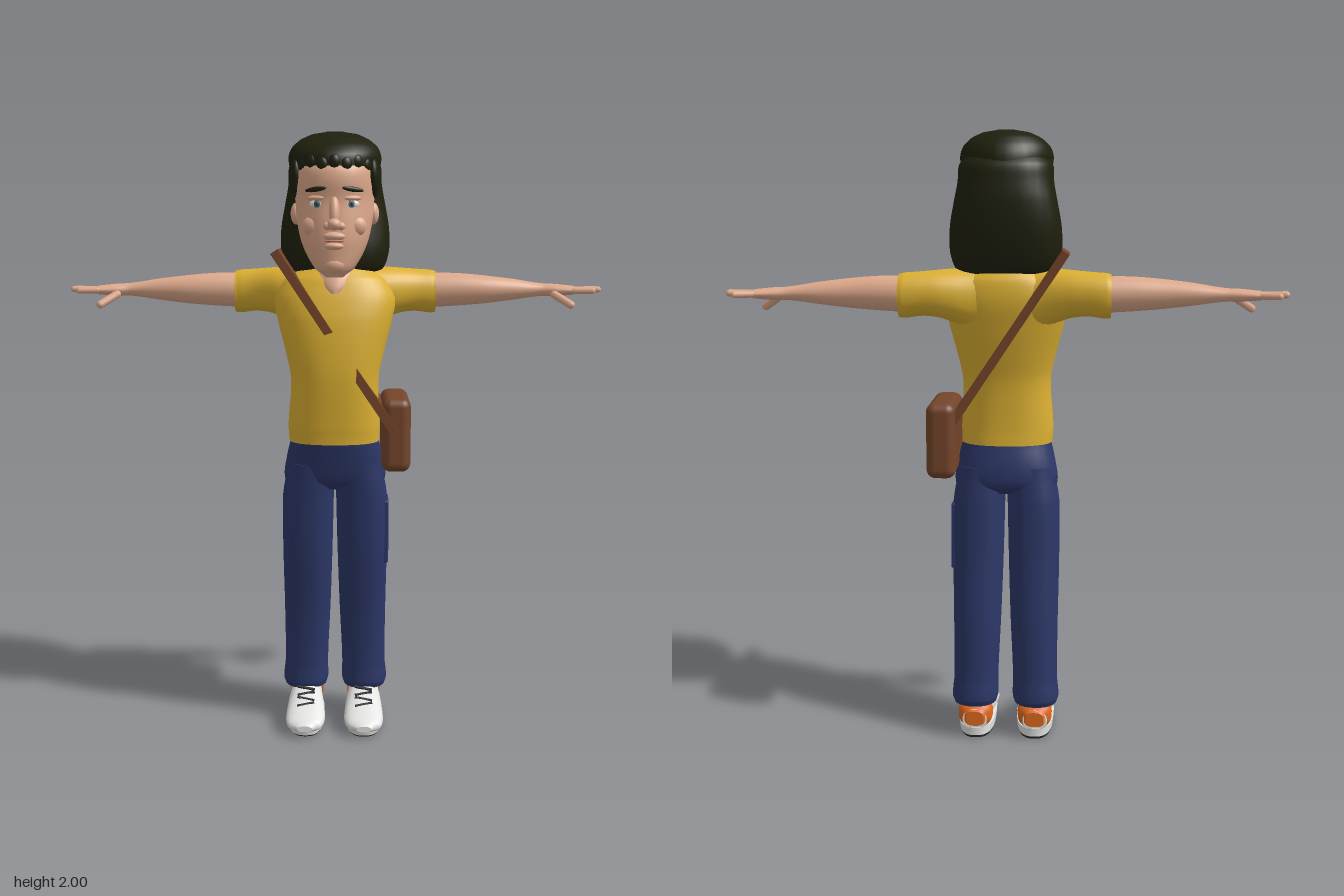
import * as THREE from 'three';
import { RoundedBoxGeometry } from 'three/addons/geometries/RoundedBoxGeometry.js';

const mat = (name, color) => {
  const m = new THREE.MeshStandardMaterial({ color });
  m.name = name;
  return m;
};

// Smooth closed body along an axis. Each section: [t, aMin, aMax, bMin, bMax];
// (a, b) is (x, z) along y, (y, z) along x and (x, y) along z.
function loft(axis, sections, power = 2, n = 28, steps = 4) {
  const place = { x: (t, a, b) => [t, a, b], y: (t, a, b) => [a, t, b], z: (t, a, b) => [a, b, t] }[axis];
  const last = sections.length - 1;
  const at = (i) => sections[Math.min(last, Math.max(0, i))];
  const rings = [];
  for (let i = 0; i < last; i++) {
    for (let k = 0; k < steps + (i === last - 1 ? 1 : 0); k++) {
      const u = k / steps;
      rings.push(at(i).map((p1, j) => {
        const p0 = at(i - 1)[j], p2 = at(i + 1)[j], p3 = at(i + 2)[j];
        if (j === 0) return p1 + (p2 - p1) * u;
        return 0.5 * (2 * p1 + (p2 - p0) * u + (2 * p0 - 5 * p1 + 4 * p2 - p3) * u * u + (3 * p1 - p0 - 3 * p2 + p3) * u ** 3);
      }));
    }
  }
  const pos = [], idx = [];
  const flip = (axis === 'y') !== (sections[last][0] < sections[0][0]);
  const tri = (a, b, c) => (flip ? idx.push(a, c, b) : idx.push(a, b, c));
  const round = (v) => Math.sign(v) * Math.abs(v) ** (2 / power);
  const addRing = ([t, a0, a1, b0, b1]) => {
    const start = pos.length / 3;
    for (let k = 0; k < n; k++) {
      const w = (k / n) * Math.PI * 2;
      pos.push(...place(t, (a0 + a1) / 2 + Math.abs(a1 - a0) / 2 * round(Math.cos(w)),
        (b0 + b1) / 2 + Math.abs(b1 - b0) / 2 * round(Math.sin(w))));
    }
    return start;
  };
  rings.forEach((r, i) => {
    const s = addRing(r);
    if (i === 0) return;
    for (let k = 0; k < n; k++) {
      const l = (k + 1) % n;
      tri(s - n + k, s - n + l, s + k);
      tri(s - n + l, s + l, s + k);
    }
  });
  [rings[0], rings[rings.length - 1]].forEach((r, end) => {
    const s = addRing(r);
    pos.push(...place(r[0], (r[1] + r[2]) / 2, (r[3] + r[4]) / 2));
    for (let k = 0; k < n; k++) {
      const l = (k + 1) % n;
      end ? tri(s + k, s + l, s + n) : tri(s + l, s + k, s + n);
    }
  });
  const g = new THREE.BufferGeometry();
  g.setAttribute('position', new THREE.Float32BufferAttribute(pos, 3));
  g.setIndex(idx);
  g.computeVertexNormals();
  return g;
}

export function createModel() {
  const model = new THREE.Group();
  model.name = 'figure';
  const skin = mat('skin', 0xdfaa8c), hair = mat('hair', 0x1f200d), shirt = mat('shirt yellow', 0xdcb032);
  const denim = mat('denim', 0x2c3767), leather = mat('brown leather', 0x74452a), white = mat('white', 0xe4e4e2);
  const dark = mat('dark rubber', 0x2b3036), orange = mat('orange', 0xe0691f);
  const iris = mat('iris', 0x4b7078), lip = mat('lip', 0xb97a66);

  const add = (name, geo, material, p = [0, 0, 0], r = [0, 0, 0]) => {
    const m = new THREE.Mesh(geo, material);
    m.name = name;
    m.position.set(...p);
    m.rotation.set(...r);
    model.add(m);
    return m;
  };
  const blob = (name, material, p, radii, r) =>
    add(name, new THREE.SphereGeometry(1, 20, 14).scale(...radii), material, p, r);
  const rod = (name, material, from, to, radius) => {
    const a = new THREE.Vector3(...from), d = new THREE.Vector3(...to).sub(a);
    const m = add(name, new THREE.CapsuleGeometry(radius, d.length(), 5, 10), material);
    m.position.copy(a).addScaledVector(d, 0.5);
    m.quaternion.setFromUnitVectors(new THREE.Vector3(0, 1, 0), d.normalize());
  };

  // Head and neck
  add('head', loft('y', [
    [1.54, -0.03, 0.03, 0.05, 0.135], [1.565, -0.062, 0.062, 0, 0.16], [1.61, -0.09, 0.09, -0.05, 0.166],
    [1.66, -0.11, 0.11, -0.08, 0.17], [1.72, -0.122, 0.122, -0.1, 0.166], [1.78, -0.127, 0.127, -0.12, 0.16],
    [1.84, -0.13, 0.13, -0.13, 0.166], [1.89, -0.127, 0.127, -0.13, 0.152], [1.95, -0.09, 0.09, -0.1, 0.09]], 2.15), skin);
  add('neck', loft('y', [
    [1.485, -0.035, 0.035, -0.05, 0.082], [1.51, -0.07, 0.07, -0.1, 0.077], [1.545, -0.084, 0.084, -0.12, 0.06],
    [1.575, -0.078, 0.078, -0.11, 0.035], [1.63, -0.066, 0.066, -0.1, 0.03]]), skin);

  // Face
  blob('noseBridge', skin, [0, 1.745, 0.163], [0.017, 0.05, 0.02], [-0.25, 0, 0]);
  blob('noseTip', skin, [0, 1.705, 0.18], [0.022, 0.019, 0.025]);
  blob('upperLip', skin, [0, 1.668, 0.168], [0.035, 0.014, 0.02]);
  blob('lowerLip', skin, [0, 1.638, 0.168], [0.03, 0.012, 0.019]);
  blob('mouth', lip, [0, 1.654, 0.172], [0.032, 0.005, 0.016]);
  blob('chin', skin, [0, 1.58, 0.145], [0.036, 0.026, 0.022]);
  for (const s of [-1, 1]) {
    blob('nostril', skin, [s * 0.021, 1.7, 0.169], [0.014, 0.013, 0.017]);
    blob('cheek', skin, [s * 0.065, 1.7, 0.125], [0.036, 0.034, 0.025]);
    blob('eyeWhite', white, [s * 0.055, 1.768, 0.142], [0.025, 0.013, 0.009], [0, s * 0.35, 0]);
    blob('eyeIris', iris, [s * 0.054, 1.768, 0.149], [0.011, 0.012, 0.004], [0, s * 0.35, 0]);
    blob('eyePupil', dark, [s * 0.054, 1.768, 0.152], [0.005, 0.006, 0.003]);
    blob('eyeLid', skin, [s * 0.055, 1.786, 0.142], [0.032, 0.009, 0.013], [0, s * 0.35, 0]);
    blob('eyebrow', hair, [s * 0.058, 1.813, 0.15], [0.036, 0.008, 0.008], [0, s * 0.35, s * -0.12]);
    blob('ear', skin, [s * 0.125, 1.74, 0.01], [0.018, 0.035, 0.024]);
  }

  // Hair: crown, long back and fringe
  add('hairCrown', loft('y', [
    [1.885, -0.147, 0.147, -0.19, 0.158], [1.92, -0.15, 0.15, -0.185, 0.152], [1.95, -0.139, 0.139, -0.17, 0.122],
    [1.975, -0.112, 0.112, -0.145, 0.077], [1.992, -0.075, 0.075, -0.115, 0.035], [2, -0.03, 0.03, -0.07, -0.01]]), hair);
  add('hairBack', loft('y', [
    [1.535, -0.1, 0.1, -0.11, -0.02], [1.56, -0.158, 0.158, -0.165, 0.025], [1.62, -0.179, 0.179, -0.188, 0.035],
    [1.7, -0.178, 0.178, -0.203, 0.03], [1.78, -0.164, 0.164, -0.208, 0.028], [1.84, -0.153, 0.153, -0.203, 0.055],
    [1.89, -0.15, 0.15, -0.195, 0.09], [1.93, -0.12, 0.12, -0.16, 0.06]], 2.4), hair);
  for (let i = 0; i < 9; i++) {
    const w = (i / 8 - 0.5) * 2.3;
    blob('fringeLock', hair, [0.132 * Math.sin(w), 1.898 - 0.008 * (i % 2), 0.152 * Math.cos(w)], [0.018, 0.022, 0.012], [0, w, 0]);
  }
  for (const s of [-1, 1]) blob('templeLock', hair, [s * 0.122, 1.85, 0.05], [0.022, 0.065, 0.045], [0.4, 0, 0]);

  // Shirt
  add('shirtBody', loft('y', [
    [0.995, -0.152, 0.148, -0.125, 0.105], [1.05, -0.155, 0.15, -0.122, 0.11], [1.2, -0.145, 0.145, -0.125, 0.12],
    [1.3, -0.165, 0.165, -0.145, 0.117], [1.4, -0.19, 0.19, -0.165, 0.105], [1.47, -0.2, 0.2, -0.175, 0.085],
    [1.53, -0.17, 0.17, -0.168, 0.06], [1.565, -0.115, 0.115, -0.145, 0.03], [1.582, -0.08, 0.08, -0.125, 0]], 2.35, 36), shirt);

  for (const s of [-1, 1]) {
    const side = s > 0 ? 'left' : 'right';
    const alongX = (list) => list.map(([t, ...r]) => [s * t, ...r]);
    const mirrorA = (list) => list.map(([t, a0, a1, ...r]) => [t, s * a0, s * a1, ...r]);

    // Sleeve, arm and hand
    add(side + 'Sleeve', loft('x', alongX([
      [0.08, 1.36, 1.572, -0.165, 0.02], [0.19, 1.405, 1.566, -0.188, -0.01], [0.26, 1.418, 1.56, -0.196, -0.045],
      [0.32, 1.412, 1.556, -0.2, -0.058], [0.336, 1.414, 1.552, -0.198, -0.06]]), 2.2), shirt);
    add(side + 'Arm', loft('x', alongX([
      [0.3, 1.43, 1.545, -0.185, -0.07], [0.4, 1.435, 1.545, -0.18, -0.07], [0.5, 1.443, 1.537, -0.172, -0.074],
      [0.6, 1.455, 1.525, -0.168, -0.09], [0.69, 1.467, 1.511, -0.163, -0.105], [0.74, 1.467, 1.508, -0.17, -0.095],
      [0.8, 1.472, 1.502, -0.178, -0.09], [0.82, 1.477, 1.497, -0.172, -0.095]])), skin);
    [0.86, 0.885, 0.89, 0.865].forEach((tip, i) => rod(side + 'Finger', skin,
      [s * 0.8, 1.487, -0.168 + i * 0.023], [s * (tip - 0.005), 1.487 + (i % 3 ? 0.003 : 0), -0.19 + i * 0.033], 0.0105));
    rod(side + 'Thumb', skin, [s * 0.735, 1.474, -0.1], [s * 0.785, 1.442, -0.065], 0.0135);

    // Trouser leg
    add(side + 'TrouserLeg', loft('y', mirrorA([
      [0.115, 0.03, 0.174, -0.172, -0.01], [0.135, 0.024, 0.18, -0.179, -0.003], [0.2, 0.025, 0.174, -0.172, -0.004],
      [0.4, 0.016, 0.175, -0.162, 0.01], [0.6, 0.009, 0.178, -0.146, 0.038], [0.8, 0.004, 0.177, -0.136, 0.055],
      [0.92, 0, 0.158, -0.125, 0.065]]), 2.3), denim);

    // Shoe
    const upper = [
      [-0.163, 0.062, 0.14, 0.03, 0.1], [-0.14, 0.05, 0.15, 0.02, 0.125], [-0.05, 0.045, 0.155, 0.015, 0.132],
      [0.03, 0.036, 0.162, 0.015, 0.11], [0.1, 0.033, 0.165, 0.015, 0.078], [0.14, 0.045, 0.155, 0.018, 0.06],
      [0.158, 0.075, 0.125, 0.025, 0.045]];
    add(side + 'ShoeUpper', loft('z', mirrorA(upper), 2.3), white);
    add(side + 'ShoeRim', loft('y', mirrorA([[0.01, 0.038, 0.16, -0.166, 0.15], [0.038, 0.036, 0.163, -0.167, 0.157]]), 2.6, 32, 1), white);
    add(side + 'ShoeSole', loft('y', mirrorA([[0, 0.042, 0.156, -0.16, 0.135], [0.012, 0.039, 0.159, -0.165, 0.148]]), 2.6, 32, 1), dark);
    add(side + 'HeelPanel', loft('z', mirrorA([
      [-0.169, 0.07, 0.13, 0.045, 0.095], [-0.145, 0.046, 0.154, 0.035, 0.118], [-0.11, 0.042, 0.158, 0.035, 0.122]]), 2.8), orange);
    for (let i = 0; i < 4; i++) {
      add(side + 'Lace', new THREE.BoxGeometry(0.06, 0.006, 0.008), dark,
        [s * 0.099, 0.121 - i * 0.011, 0.005 + i * 0.022], [0.45, i % 2 ? 0.25 : -0.25, 0]);
    }
  }

  // Trouser hips and thigh pocket
  add('trouserHips', loft('y', [
    [0.83, -0.14, 0.14, -0.1, 0.025], [0.86, -0.17, 0.17, -0.134, 0.06], [0.93, -0.163, 0.163, -0.134, 0.078],
    [1.02, -0.144, 0.142, -0.115, 0.095]], 2.3), denim);
  add('thighPocket', new RoundedBoxGeometry(0.02, 0.22, 0.09, 2, 0.006), denim, [0.172, 0.68, -0.045], [0.06, 0, 0]);

  // Shoulder bag and diagonal strap
  add('bag', new RoundedBoxGeometry(0.095, 0.245, 0.3, 4, 0.03), leather, [0.203, 1.022, -0.06]);
  add('bagStrap', new THREE.BoxGeometry(0.028, 0.71, 0.296), leather, [0.004, 1.325, -0.038], [0, 0, 0.588]);
  return model;
}
